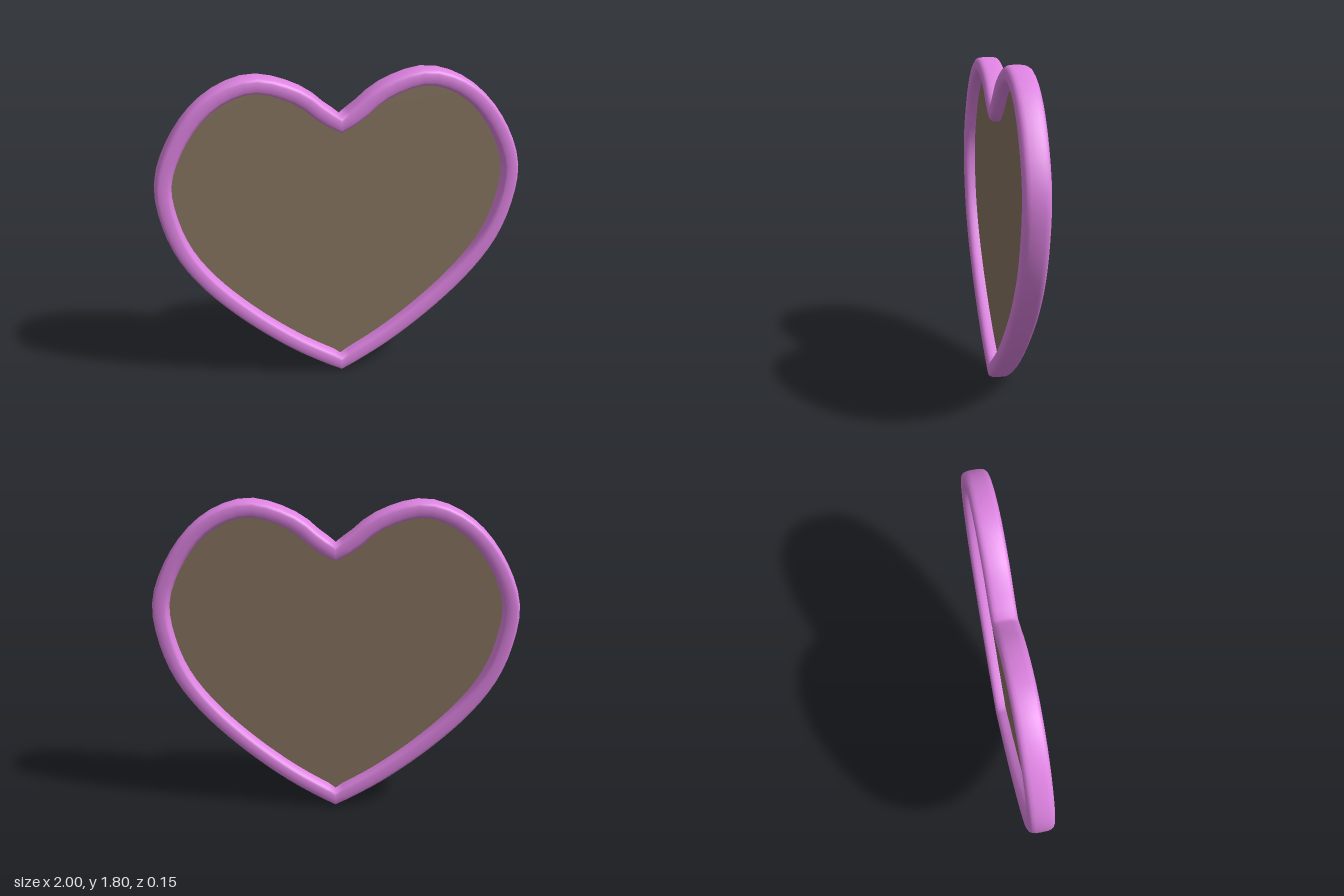
import * as THREE from 'three';

// Centre line of one half of the heart, from the notch down to the tip
const HALF = [
  [0, 1.522], [0.09, 1.58], [0.22, 1.685], [0.45, 1.76], [0.62, 1.715], [0.77, 1.60],
  [0.9, 1.4], [0.953, 1.22], [0.927, 1.01], [0.857, 0.82], [0.735, 0.64],
  [0.53, 0.43], [0.26, 0.215], [0, 0.055],
];

// Closed clockwise outline: the right half followed by its mirror image
function heartOutline(steps) {
  const curve = new THREE.CatmullRomCurve3(HALF.map(([x, y]) => new THREE.Vector3(x, y, 0)));
  const half = curve.getSpacedPoints(steps).map((p) => new THREE.Vector2(p.x, p.y));
  const mirrored = half.slice(1, -1).reverse().map((p) => new THREE.Vector2(-p.x, p.y));
  return [...half, ...mirrored];
}

// Sweep a rounded-rectangle section around the outline
function rimGeometry(outline, halfWidth, halfDepth, sides) {
  const n = outline.length;
  const soften = (v) => Math.sign(v) * Math.abs(v) ** 0.6;
  const positions = [];
  const index = [];
  for (let i = 0; i < n; i++) {
    const p = outline[i];
    const t = outline[(i + 1) % n].clone().sub(outline[(i + n - 1) % n]).normalize();
    for (let j = 0; j < sides; j++) {
      const a = (j / sides) * Math.PI * 2;
      const out = soften(Math.cos(a)) * halfWidth;
      positions.push(p.x - t.y * out, p.y + t.x * out, soften(Math.sin(a)) * halfDepth);
      const k = (j + 1) % sides;
      const here = i * sides;
      const next = ((i + 1) % n) * sides;
      index.push(here + j, here + k, next + j, here + k, next + k, next + j);
    }
  }
  const geometry = new THREE.BufferGeometry();
  geometry.setAttribute('position', new THREE.Float32BufferAttribute(positions, 3));
  geometry.setIndex(index);
  geometry.computeVertexNormals();
  return geometry;
}

export function createModel() {
  const pink = new THREE.MeshStandardMaterial({ color: 0xde83e2 });
  pink.name = 'orchid pink';
  const brown = new THREE.MeshStandardMaterial({ color: 0x877561 });
  brown.name = 'taupe brown';

  const group = new THREE.Group();
  group.name = 'heartFrame';
  const outline = heartOutline(40);

  // Rounded frame
  const rim = new THREE.Mesh(rimGeometry(outline, 0.046, 0.068, 20), pink);
  rim.name = 'rim';

  // Thin panel set in the middle of the frame
  const panelGeometry = new THREE.ExtrudeGeometry(new THREE.Shape(outline), { depth: 0.01, bevelEnabled: false });
  panelGeometry.translate(0, 0, -0.005);
  const panel = new THREE.Mesh(panelGeometry, brown);
  panel.name = 'panel';

  // The frame leans back very slightly
  const heart = new THREE.Group();
  heart.name = 'heart';
  heart.add(rim, panel);
  heart.rotation.x = -0.006;
  heart.position.z = 0.005;
  group.add(heart);
  return group;
}
